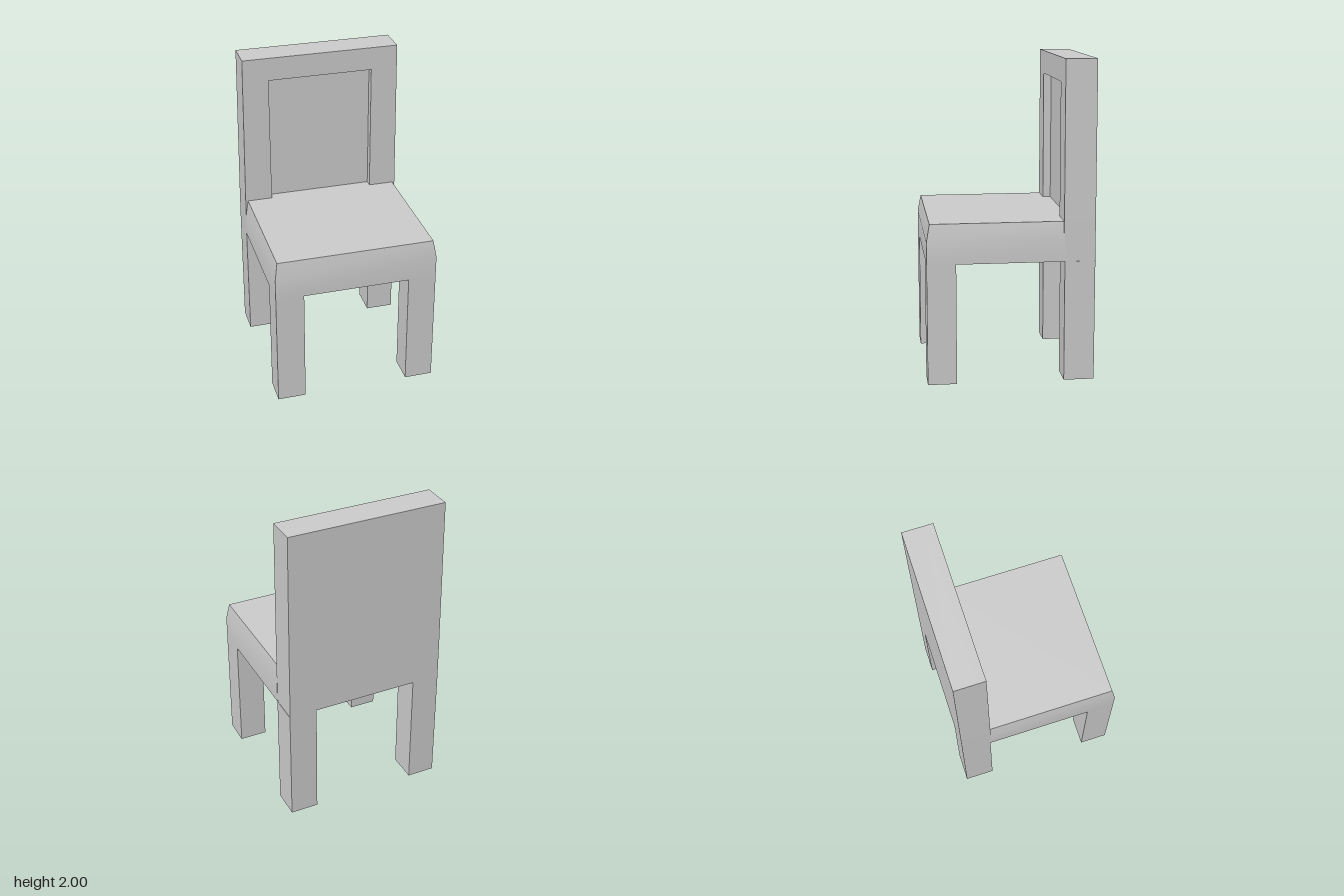
import * as THREE from 'three';
import { toCreasedNormals } from 'three/addons/utils/BufferGeometryUtils.js';

export function createModel() {
  const chair = new THREE.Group();
  chair.name = 'chair';
  const grey = new THREE.MeshStandardMaterial({ color: 0xcccccc });
  grey.name = 'plain grey';

  const add = (name, geometry) => {
    const mesh = new THREE.Mesh(geometry, grey);
    mesh.name = name;
    chair.add(mesh);
  };

  // Flat outline in x and y, thickened from z0 to z1
  const slab = (points, z0, z1) => {
    const shape = new THREE.Shape(points.map(([x, y]) => new THREE.Vector2(x, y)));
    return new THREE.ExtrudeGeometry(shape, { depth: z1 - z0, bevelEnabled: false }).translate(0, 0, z0);
  };

  // Seat: a box with a middle ring at y = 0.9, drawn in above it on the front and sides
  const seat = new THREE.BoxGeometry(1.04, 0.25, 0.85, 1, 2, 1).translate(0, 0.885, 0.095);
  const p = seat.attributes.position;
  for (let i = 0; i < p.count; i++) {
    const y = p.getY(i);
    if (y > 1) {
      p.setX(i, Math.sign(p.getX(i)) * 0.502);
      if (p.getZ(i) > 0) p.setZ(i, 0.5);
    } else if (y > 0.8) {
      p.setY(i, 0.9);
    }
  }
  add('seat', toCreasedNormals(seat, 0.4));

  // Legs
  for (const [side, x] of [['left', 0.43], ['right', -0.43]]) {
    add(side + 'FrontLeg', new THREE.BoxGeometry(0.18, 0.76, 0.18).translate(x, 0.38, 0.43));
    add(side + 'BackLeg', new THREE.BoxGeometry(0.18, 0.76, 0.19).translate(x, 0.38, -0.425));
  }

  // Backrest: solid rear slab, with a raised border leaving a shallow recess above the seat
  add('backPanel', slab(
    [[-0.52, 0.76], [0.518, 0.76], [0.518, 1.01], [0.512, 2], [-0.506, 2], [-0.518, 1.01]], -0.52, -0.375));
  add('backBorder', slab(
    [[-0.52, 0.76], [-0.34, 0.76], [-0.34, 1.85], [0.34, 1.85], [0.34, 0.76],
      [0.518, 0.76], [0.518, 1.01], [0.512, 2], [-0.506, 2], [-0.518, 1.01]], -0.375, -0.325));
  // Lower filler below the seat top
  add('seatBackRail', new THREE.BoxGeometry(0.68, 0.25, 0.05).translate(0, 0.885, -0.35));

  return chair;
}
